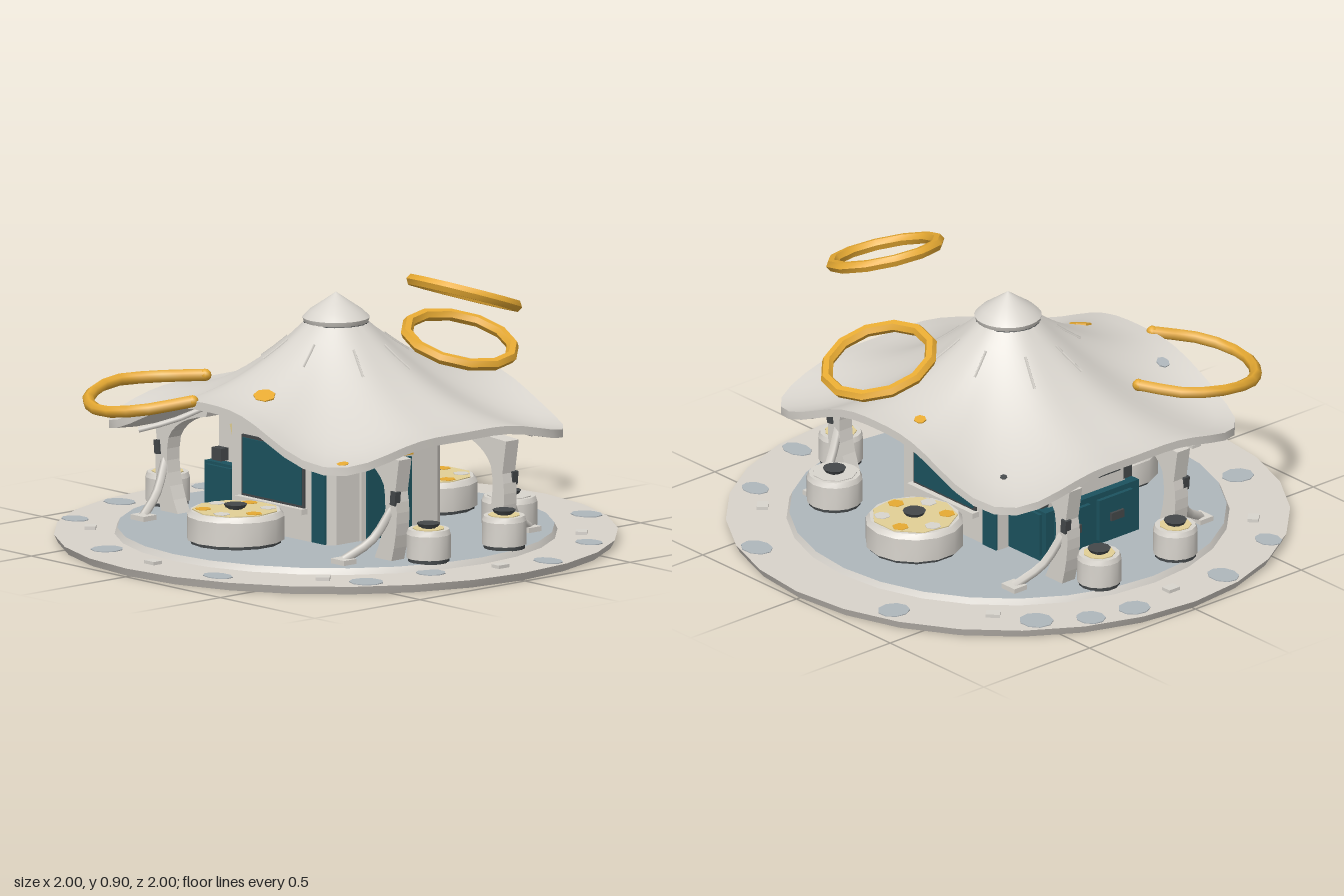
import * as THREE from 'three';
import { toCreasedNormals } from 'three/addons/utils/BufferGeometryUtils.js';

const V = (x, y, z) => new THREE.Vector3(x, y, z);
const mat = (name, color) => Object.assign(new THREE.MeshStandardMaterial({ color }), { name });

export function createModel() {
  const root = new THREE.Group();
  const white = mat('warm white', 0xd9d5ce);
  const stone = mat('pale stone', 0xd9d3cb);
  const slate = mat('slate grey', 0xafb7bc);
  const under = mat('underside grey', 0xb9bbb9);
  const teal = mat('deep teal', 0x1c535f);
  const gold = mat('gold', 0xe8ab33);
  const cream = mat('cream', 0xe2d096);
  const dark = mat('charcoal', 0x44484a);

  const add = (name, geo, m, x = 0, y = 0, z = 0, parent = root) => {
    const mesh = new THREE.Mesh(geo, m);
    mesh.name = name;
    mesh.position.set(x, y, z);
    parent.add(mesh);
    return mesh;
  };
  // box given by its min and max corners
  const box = (name, m, x0, x1, y0, y1, z0, z1, parent) =>
    add(name, new THREE.BoxGeometry(x1 - x0, y1 - y0, z1 - z0), m,
      (x0 + x1) / 2, (y0 + y1) / 2, (z0 + z1) / 2, parent);
  const drum = (name, m, r0, r1, y0, y1, x, z, sides = 12, parent) =>
    add(name, toCreasedNormals(new THREE.CylinderGeometry(r1, r0, y1 - y0, sides), 0.7), m,
      x, (y0 + y1) / 2, z, parent);
  const tube = (name, m, pts, r, segs = 12, sides = 6) =>
    add(name, new THREE.TubeGeometry(new THREE.CatmullRomCurve3(pts), segs, r, sides), m);

  // Round platform with raised floor
  drum('platformRing', [stone, stone, under], 0.985, 1, 0, 0.03, 0, 0, 28);
  drum('raisedFloor', [white, slate, slate], 0.785, 0.775, 0.03, 0.052, 0, 0, 28);

  // Worn patches and small lamps on the ring
  const patches = [[-0.35, -0.85], [0.37, -0.86], [0.75, -0.53], [-0.75, -0.53], [-0.86, -0.37], [0.9, -0.2],
    [-0.9, -0.2], [-0.9, 0.22], [-0.78, 0.54], [0.75, 0.53], [0.78, 0.25], [0.32, 0.85], [-0.3, 0.82]];
  patches.forEach(([x, z], i) => {
    const p = drum('ringPatch', slate, 1, 1, 0.03, 0.033, x, z, 9);
    p.scale.set(0.055 + 0.008 * (i % 2), 1, 0.06 - 0.008 * (i % 3));
  });
  for (const i of [0, 1, 2, 3, 5, 6, 7]) {
    const a = i * Math.PI / 4;
    const lamp = box('ringLamp', white, -0.025, 0.025, 0.03, 0.042, -0.02, 0.02);
    lamp.position.x = Math.sin(a) * 0.87;
    lamp.position.z = Math.cos(a) * 0.87;
    lamp.rotation.y = a;
  }
  drum('floorChip', gold, 0.025, 0.025, 0.052, 0.055, 0.38, 0.02, 7);

  // Draped square canopy: a lathe whose rings morph from a circle to a sagging square
  const canopyPoint = (t, a) => {
    const s = Math.sin(a), c = Math.cos(a);
    const edge = Math.pow(Math.abs(s / 0.68) ** 5.5 + Math.abs(c / 0.62) ** 5.5, -1 / 5.5);
    const r = 0.1 + (edge - 0.1) * t;
    const yEdge = 0.575 * c * c + 0.487 * s * s - 0.108 * Math.sin(2 * a) ** 4;
    return V(s * r, yEdge + (0.8 - yEdge) * Math.pow(1 - t, 1.9), c * r);
  };
  const profile = [];
  for (let i = 0; i <= 10; i++) profile.push(new THREE.Vector2(0.01 + i / 10, -0.03));
  for (let i = 10; i >= 0; i--) profile.push(new THREE.Vector2(0.01 + i / 10, 0));
  const canopyGeo = new THREE.LatheGeometry(profile, 64);
  const pos = canopyGeo.attributes.position;
  for (let i = 0; i < pos.count; i++) {
    const x = pos.getX(i), z = pos.getZ(i), drop = pos.getY(i);
    const p = canopyPoint(Math.min(1, Math.max(0, Math.hypot(x, z) - 0.01)), Math.atan2(x, z));
    pos.setXYZ(i, p.x, p.y + drop, p.z);
  }
  add('canopy', toCreasedNormals(canopyGeo, 0.6), white);

  // Pointed cap
  const cap = [[0.1, 0.765], [0.115, 0.79], [0.12, 0.805], [0.095, 0.83], [0.055, 0.857], [0, 0.895]]
    .map(([x, y]) => new THREE.Vector2(x, y));
  add('canopyCap', toCreasedNormals(new THREE.LatheGeometry(cap, 24), 0.6), white);
  drum('capSeam', dark, 0.115, 0.115, 0.783, 0.788, 0, 0, 24);

  // Narrow ribs on the upper canopy
  for (let i = 0; i < 8; i++) {
    const a = (i + 0.5) * Math.PI / 4;
    tube('canopyRib', white, [0.14, 0.22, 0.3].map(t => canopyPoint(t, a)), 0.006, 4, 4);
  }
  // Small worn chips on the canopy, laid along its slope
  const chips = [[gold, 0.66, 0.25, 0.04], [gold, 0.93, 0.87, 0.022], [gold, 0.78, 3.34, 0.022],
    [slate, 0.82, -0.42, 0.025], [dark, 0.73, -2.32, 0.013]];
  chips.forEach(([m, t, a, r]) => {
    const p = canopyPoint(t, a);
    const inward = canopyPoint(t - 0.04, a).sub(p);
    const along = canopyPoint(t, a + 0.03).sub(p);
    const chip = drum('canopyChip', m, r, r, -0.004, 0.004, 0, 0, 7);
    chip.quaternion.setFromUnitVectors(V(0, 1, 0), along.cross(inward).normalize());
    if (V(0, 1, 0).applyQuaternion(chip.quaternion).y < 0) chip.rotateX(Math.PI);
    chip.position.copy(p);
  });

  // Two floating rings, tilted to face outward
  const ring = (x, y, z, rx, rz) => {
    const g = new THREE.TorusGeometry(0.195, 0.022, 6, 12).rotateX(Math.PI / 2);
    const m = add('floatingRing', toCreasedNormals(g, 0.5), gold, x, y, z);
    m.rotation.set(rx, 0, rz);
  };
  ring(0, 0.808, -0.61, -0.33, 0);
  ring(0.655, 0.82, 0, 0, -0.32);
  // Broken ring resting on the front edge
  const arc = [V(-0.38, 0.575, 0.28), V(-0.52, 0.562, 0.38), V(-0.59, 0.555, 0.53), V(-0.53, 0.53, 0.7),
    V(-0.35, 0.52, 0.805), V(-0.19, 0.54, 0.765), V(-0.07, 0.572, 0.62)];
  tube('brokenRing', gold, arc, 0.022, 14, 6);
  [arc[0], arc[6]].forEach(p => add('brokenRingEnd', new THREE.SphereGeometry(0.022, 8, 6), gold, p.x, p.y, p.z));

  // Central kiosk: body with gold crown ring
  const kiosk = new THREE.Group();
  kiosk.name = 'kiosk';
  root.add(kiosk);
  const plan = new THREE.Shape([[-0.25, -0.27], [0.25, -0.27], [0.27, -0.24], [0.27, 0.24],
    [0.25, 0.27], [-0.25, 0.27]].map(([x, y]) => new THREE.Vector2(x, y)));
  add('kioskBody', new THREE.ExtrudeGeometry(plan, { depth: 0.42, bevelEnabled: false }).rotateX(-Math.PI / 2),
    white, 0, 0.05, 0, kiosk);
  const crown = new THREE.TorusGeometry(0.32, 0.022, 6, 8).rotateZ(Math.PI / 8).rotateX(Math.PI / 2);
  add('crownRing', toCreasedNormals(crown, 0.5), gold, -0.02, 0.487, 0, kiosk);
  drum('kioskNeck', teal, 0.13, 0.1, 0.47, 0.56, 0, 0, 10, kiosk);
  drum('mast', white, 0.06, 0.06, 0.55, 0.78, 0, 0, 10, kiosk);

  // Front and back screens with frames and teal corner strips
  for (const s of [1, -1]) {
    const face = new THREE.Group();
    face.name = s > 0 ? 'frontFace' : 'backFace';
    face.rotation.y = s > 0 ? 0 : Math.PI;
    kiosk.add(face);
    box('screenFrame', dark, -0.19, 0.14, 0.17, 0.39, 0.26, 0.278, face);
    box('screen', teal, -0.18, 0.13, 0.18, 0.38, 0.27, 0.284, face);
    box('screenShelf', white, -0.2, 0.15, 0.15, 0.17, 0.26, 0.3, face);
    const lens = drum('faceLamp', dark, 0.017, 0.017, -0.01, 0.01, 0.06, 0, 10, face);
    lens.rotation.x = Math.PI / 2;
    lens.position.set(0.06, 0.435, 0.273);
    box('cornerStrip', teal, 0.18, 0.25, 0.055, 0.46, 0.265, 0.279, face);
  }

  // Door and sign on the left side
  box('doorFrame', white, 0.26, 0.28, 0.05, 0.46, -0.13, 0.13, kiosk);
  box('door', teal, 0.27, 0.29, 0.055, 0.33, -0.1, 0.11, kiosk);
  box('signPanel', cream, 0.27, 0.295, 0.34, 0.44, -0.1, 0.11, kiosk);
  for (const y of [0.345, 0.435]) box('signBorder', gold, 0.29, 0.299, y - 0.006, y + 0.006, -0.1, 0.11, kiosk);
  for (const z of [-0.045, 0.055]) {
    const dial = add('signDial', new THREE.TorusGeometry(0.025, 0.006, 5, 10), gold, 0.296, 0.39, z, kiosk);
    dial.rotation.y = Math.PI / 2;
    box('signMark', dark, 0.29, 0.298, 0.38, 0.4, z - 0.008, z + 0.008, kiosk);
  }

  // Service lockers on the right side
  box('lockerBase', teal, -0.45, -0.25, 0.055, 0.25, -0.22, 0.22, kiosk);
  box('lockerTop', white, -0.42, -0.25, 0.25, 0.42, -0.18, 0.18, kiosk);
  for (const z of [-0.1, 0.1]) {
    box('lockerDoor', teal, -0.465, -0.45, 0.075, 0.23, z - 0.08, z + 0.08, kiosk);
    box('lockerHandle', dark, -0.475, -0.465, 0.14, 0.17, z - 0.03, z + 0.03, kiosk);
    box('lockerVent', dark, -0.43, -0.42, 0.3, 0.36, z - 0.05, z + 0.05, kiosk);
  }
  for (const s of [1, -1]) {
    box('lockerSidePanel', teal, -0.43, -0.3, 0.08, 0.24, s * 0.225 - 0.008, s * 0.225 + 0.008, kiosk);
    box('lockerColumn', teal, -0.3, -0.25, 0.25, 0.31, s * 0.2 - 0.02, s * 0.2 + 0.02, kiosk);
    box('lockerGauge', dark, -0.42, -0.37, 0.255, 0.3, s * 0.195 - 0.02, s * 0.195 + 0.02, kiosk);
    const badge = box('lockerBadge', cream, -0.35, -0.28, 0.34, 0.4, s * 0.182 - 0.003, s * 0.182 + 0.003, kiosk);
    badge.rotation.z = 0.3;
  }

  // Canopy legs: a curved cut-out plate with an inward branch, plus a splayed foot strut
  const legShape = new THREE.Shape();
  legShape.moveTo(0.52, 0.05);
  legShape.lineTo(0.61, 0.05);
  legShape.quadraticCurveTo(0.655, 0.2, 0.63, 0.3);
  legShape.lineTo(0.65, 0.42);
  legShape.lineTo(0.48, 0.43);
  legShape.lineTo(0.36, 0.455);
  legShape.lineTo(0.37, 0.425);
  legShape.quadraticCurveTo(0.53, 0.4, 0.57, 0.32);
  legShape.quadraticCurveTo(0.6, 0.2, 0.52, 0.05);
  const legGeo = new THREE.ExtrudeGeometry(legShape, { depth: 0.06, bevelEnabled: false, curveSegments: 6 })
    .translate(0, 0, -0.03);
  for (const sx of [1, -1]) for (const sz of [1, -1]) {
    const leg = add('canopyLeg', legGeo, white, 0, 0, sz * 0.255);
    leg.rotation.y = sx > 0 ? 0 : Math.PI;
    tube('footStrut', white, [V(sx * 0.6, 0.24, sz * 0.27), V(sx * 0.57, 0.13, sz * 0.34),
      V(sx * 0.53, 0.065, sz * 0.44)], 0.017, 6, 5);
    box('footPad', white, sx * 0.53 - 0.035, sx * 0.53 + 0.035, 0.052, 0.07, sz * 0.44 - 0.03, sz * 0.44 + 0.03);
    const lamp = box('legLamp', dark, sx * 0.625 - 0.013, sx * 0.625 + 0.013, 0.255, 0.305, sz * 0.28 - 0.013, sz * 0.28 + 0.013);
    lamp.rotation.z = -sx * 0.1;
    // struts hugging the underside of the canopy
    const strut = [0.25, 0.45, 0.65, 0.85].map(t => canopyPoint(t, Math.atan2(sx, sz)).add(V(0, -0.045, 0)));
    tube('canopyStrut', sx === sz ? gold : white, strut, 0.011, 6, 5);
  }

  // Tables and stools: white drum, coloured top, dark pedestal cap
  const seat = (name, x, z, r, top, topScale) => {
    const g = new THREE.Group();
    g.name = name;
    g.position.set(x, 0, z);
    root.add(g);
    drum('drumFoot', dark, r * 0.93, r * 0.93, 0.05, 0.07, 0, 0, 14, g);
    drum('drumBody', white, r, r, 0.065, 0.15, 0, 0, 14, g);
    drum('drumShoulder', white, r, r * 0.92, 0.15, 0.168, 0, 0, 14, g);
    drum('drumTop', top, r * topScale, r * topScale, 0.165, 0.171, 0, 0, 9, g);
    drum('capStem', dark, 0.025, 0.03, 0.168, 0.178, 0, 0, 10, g);
    drum('capDisc', dark, 0.035, 0.042, 0.176, 0.188, 0, 0, 10, g);
    return g;
  };
  for (const s of [1, -1]) {
    const table = seat(s > 0 ? 'frontTable' : 'backTable', -0.02, s * 0.46, 0.175, cream, 0.88);
    // worn gold and white patches around the table top
    for (let i = 0; i < 6; i++) {
      const a = i * Math.PI / 3 + 0.4;
      drum('topPatch', i % 2 ? gold : white, 0.03, 0.03, 0.17, 0.173, Math.sin(a) * 0.115, Math.cos(a) * 0.115, 6, table);
    }
  }
  seat('cornerStool', 0.44, -0.43, 0.1, white, 0.8);
  for (const sx of [1, -1]) for (const sz of [1, -1])
    seat('sideStool', sx * 0.69, sz * 0.18, 0.08, cream, 0.72);

  return root;
}
